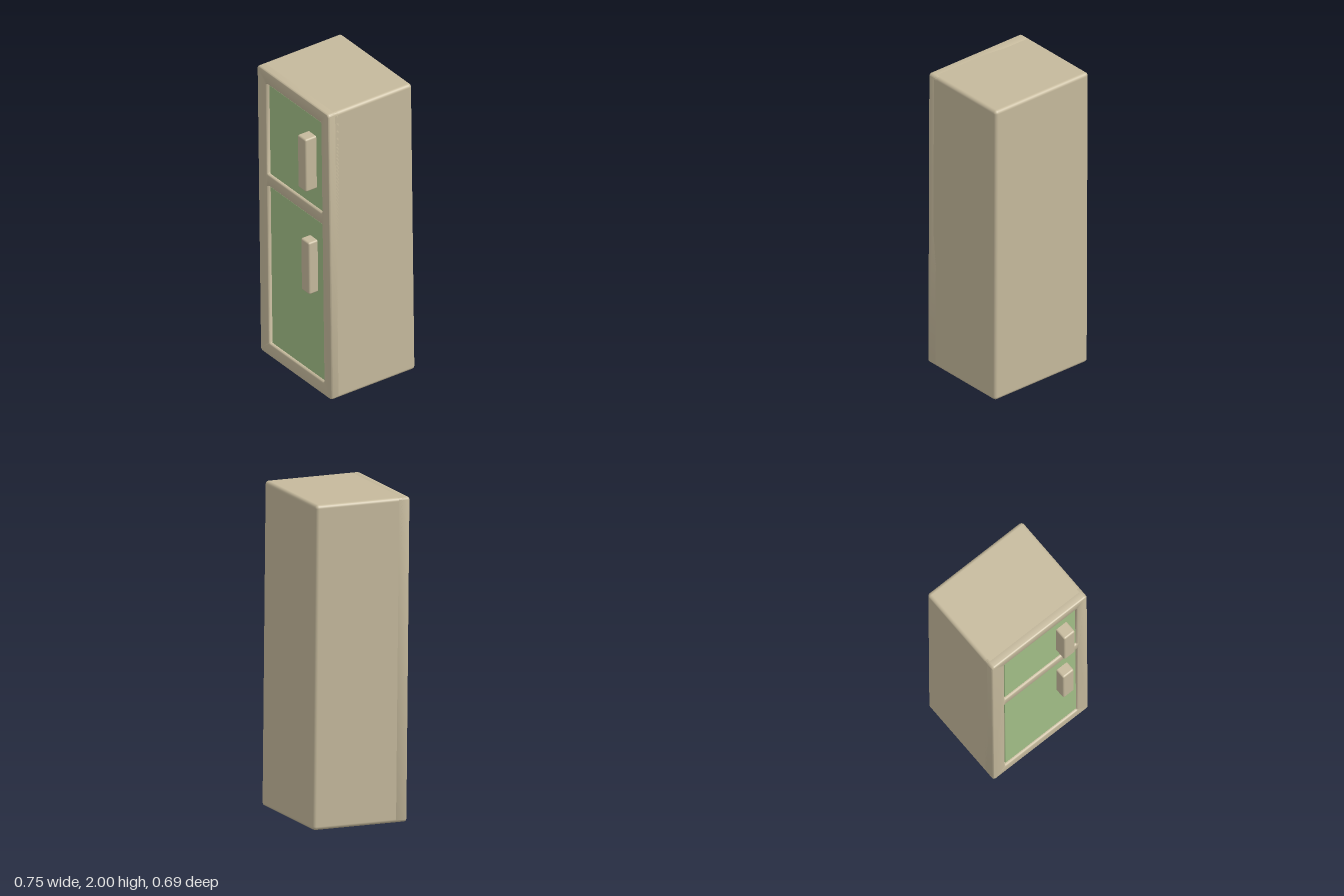
import * as THREE from 'three';
import { toCreasedNormals } from 'three/addons/utils/BufferGeometryUtils.js';
import { RoundedBoxGeometry } from 'three/addons/geometries/RoundedBoxGeometry.js';

const material = (name, color) => {
  const m = new THREE.MeshStandardMaterial({ color });
  m.name = name;
  return m;
};

// Rounded rectangle traced into a Shape or Path
function roundedRect(path, x0, y0, x1, y1, r) {
  path.moveTo(x0 + r, y0);
  path.lineTo(x1 - r, y0);
  path.absarc(x1 - r, y0 + r, r, -Math.PI / 2, 0);
  path.lineTo(x1, y1 - r);
  path.absarc(x1 - r, y1 - r, r, 0, Math.PI / 2);
  path.lineTo(x0 + r, y1);
  path.absarc(x0 + r, y1 - r, r, Math.PI / 2, Math.PI);
  path.lineTo(x0, y0 + r);
  path.absarc(x0 + r, y0 + r, r, Math.PI, Math.PI * 1.5);
  return path;
}

export function createModel() {
  const cream = material('cream enamel', 0xc5b99c);
  const green = material('green door', 0xa2bf87);
  const brown = material('brown seam', 0x6b5d47);

  const model = new THREE.Group();
  model.name = 'refrigerator';
  const add = (name, geometry, mat, x, y, z) => {
    const mesh = new THREE.Mesh(geometry, mat);
    mesh.name = name;
    mesh.position.set(x, y, z);
    model.add(mesh);
  };
  // Rounded block given by its limits
  const block = (name, mat, x0, x1, y0, y1, z0, z1, r) =>
    add(name, new RoundedBoxGeometry(x1 - x0, y1 - y0, z1 - z0, 4, r), mat,
      (x0 + x1) / 2, (y0 + y1) / 2, (z0 + z1) / 2);

  const W = 0.366, BOTTOM = 0.006, TOP = 1.994, FRONT = 0.308;
  const left = -0.272, right = 0.285;
  const doors = [
    { name: 'upper', y0: 1.278, y1: 1.906, hx: 0.176, h0: 1.41, h1: 1.775, hz: 0.373 },
    { name: 'lower', y0: 0.098, y1: 1.197, hx: 0.177, h0: 0.69, h1: 1.05, hz: 0.358 },
  ];

  // Cabinet, its front edge hidden inside the frame
  block('cabinet', cream, -W, W, BOTTOM, TOP, -FRONT, 0.28, 0.022);

  // Front frame with two door openings and softened edges
  const outline = roundedRect(new THREE.Shape(), -W, BOTTOM, W, TOP, 0.022);
  for (const d of doors) {
    outline.holes.push(roundedRect(new THREE.Path(), left, d.y0, right, d.y1, 0.008));
  }
  const bevel = 0.012;
  const frame = new THREE.ExtrudeGeometry(outline, {
    depth: 0.06, bevelEnabled: true, bevelThickness: bevel, bevelSize: bevel,
    bevelOffset: -bevel, bevelSegments: 4, curveSegments: 5,
  });
  add('frontFrame', toCreasedNormals(frame, 0.7), cream, 0, 0, FRONT - 0.06 - bevel);

  // Recessed doors, the shadow gap behind them and their handles
  for (const d of doors) {
    add(d.name + 'Seam', new THREE.BoxGeometry(right - left, d.y1 - d.y0, 0.006), brown,
      (left + right) / 2, (d.y0 + d.y1) / 2, 0.28);
    block(d.name + 'Door', green, left + 0.011, right - 0.001, d.y0 + 0.001, d.y1 - 0.009,
      0.27, 0.293, 0.003);
    block(d.name + 'Handle', cream, d.hx - 0.042, d.hx + 0.042, d.h0, d.h1, 0.275, d.hz, 0.012);
  }

  // Slight lean of the whole cabinet
  model.rotation.set(0.0062, 0, 0.009);
  model.position.set(0.0065, 0, -0.0375);
  const root = new THREE.Group();
  root.name = 'refrigeratorRoot';
  root.add(model);
  return root;
}
